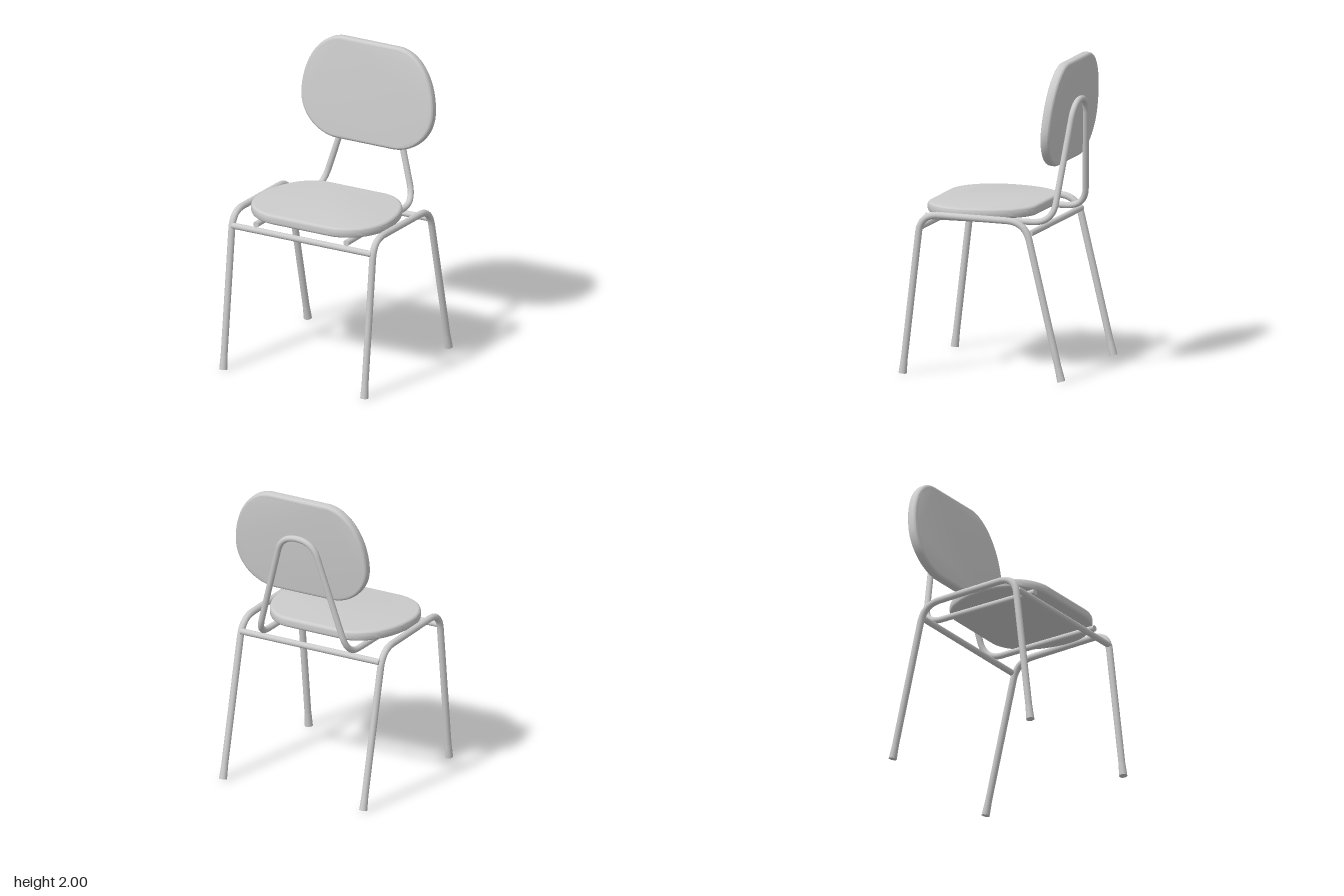
import * as THREE from 'three';
import { toCreasedNormals } from 'three/addons/utils/BufferGeometryUtils.js';

const material = new THREE.MeshStandardMaterial({ color: 0xcccccc });
const V = (x, y, z) => new THREE.Vector3(x, y, z);
const UP = V(0, 1, 0);

function add(parent, geometry, name) {
  const mesh = new THREE.Mesh(geometry, material);
  mesh.name = name;
  parent.add(mesh);
  return mesh;
}

// Straight runs joined by rounded bends; cuts[i] is the bend length at corner i + 1
function bentPath(points, cuts) {
  const path = new THREE.CurvePath();
  let from = points[0];
  for (let i = 1; i < points.length - 1; i++) {
    const corner = points[i], cut = cuts[i - 1];
    const a = corner.clone().add(points[i - 1].clone().sub(corner).setLength(cut));
    const b = corner.clone().add(points[i + 1].clone().sub(corner).setLength(cut));
    path.add(new THREE.LineCurve3(from, a));
    path.add(new THREE.QuadraticBezierCurve3(a, corner, b));
    from = b;
  }
  path.add(new THREE.LineCurve3(from, points[points.length - 1]));
  return path;
}

// Solid rod between two points, with optional different end radii
function rod(parent, a, b, ra, rb, name) {
  const d = b.clone().sub(a);
  const mesh = add(parent, new THREE.CylinderGeometry(rb, ra, d.length(), 20), name);
  mesh.position.copy(a).add(b).multiplyScalar(0.5);
  mesh.quaternion.setFromUnitVectors(UP, d.normalize());
  return mesh;
}

// Rounded cushion panel, widest at its local origin
function panelGeometry(halfWidth, flat, up, down, thickness) {
  const r = halfWidth - flat, bevel = 0.02;
  const shape = new THREE.Shape();
  shape.moveTo(flat, -down);
  shape.absellipse(flat, 0, r, down, -Math.PI / 2, 0, false);
  shape.absellipse(flat, 0, r, up, 0, Math.PI / 2, false);
  shape.absellipse(-flat, 0, r, up, Math.PI / 2, Math.PI, false);
  shape.absellipse(-flat, 0, r, down, Math.PI, Math.PI * 1.5, false);
  const geometry = new THREE.ExtrudeGeometry(shape, {
    depth: thickness - 2 * bevel, curveSegments: 16,
    bevelThickness: bevel, bevelSize: bevel, bevelOffset: -bevel, bevelSegments: 5,
  });
  geometry.translate(0, 0, bevel - thickness / 2);
  return toCreasedNormals(geometry, 0.7);
}

export function createModel() {
  const chair = new THREE.Group();
  chair.name = 'chair';

  // Side frames: front leg, side rail and back leg bent from one tube
  for (const side of [-1, 1]) {
    const frame = new THREE.Group();
    frame.name = side > 0 ? 'leftFrame' : 'rightFrame';
    const x = side * 0.516;
    const pts = [V(x, 0.003, 0.53), V(x, 1.03, 0.41), V(x, 1.015, -0.286), V(x, 0.006, -0.528)];
    add(frame, new THREE.TubeGeometry(bentPath(pts, [0.12, 0.12]), 120, 0.022, 16), 'legTube');
    // Slightly flared feet
    for (const [end, next, name] of [[pts[0], pts[1], 'frontFoot'], [pts[3], pts[2], 'backFoot']]) {
      const top = end.clone().add(next.clone().sub(end).setLength(0.09));
      rod(frame, end, top, 0.026, 0.0222, name);
    }
    chair.add(frame);
  }

  // Cross bars between the frames
  rod(chair, V(-0.51, 0.94, 0.425), V(0.51, 0.94, 0.425), 0.02, 0.02, 'frontCrossBar');
  rod(chair, V(-0.51, 0.94, -0.315), V(0.51, 0.94, -0.315), 0.02, 0.02, 'backCrossBar');

  // One tube running under the seat, up behind the backrest and over in an arch
  const half = [V(0.33, 0.985, 0.44), V(0.33, 0.985, -0.405), V(0.114, 1.732, -0.481)];
  const mirrored = half.map((p) => V(-p.x, p.y, p.z)).reverse();
  const path = bentPath([...half, ...mirrored], [0.13, 0.113, 0.113, 0.13]);
  add(chair, new THREE.TubeGeometry(path, 240, 0.02, 16), 'backSupportTube');
  for (const x of [-0.33, 0.33]) {
    add(chair, new THREE.CircleGeometry(0.02, 16), 'supportTubeEnd').position.set(x, 0.985, 0.44);
  }

  // Seat
  const seat = add(chair, panelGeometry(0.483, 0.2, 0.415, 0.305, 0.065), 'seat');
  seat.rotation.x = -Math.PI / 2;
  seat.position.set(0, 1.0425, 0.15);

  // Backrest, leaning back
  const backrest = add(chair, panelGeometry(0.483, 0.2, 0.398, 0.27, 0.062), 'backrest');
  backrest.rotation.x = -0.107;
  backrest.position.set(0, 1.601, -0.407);

  return chair;
}
